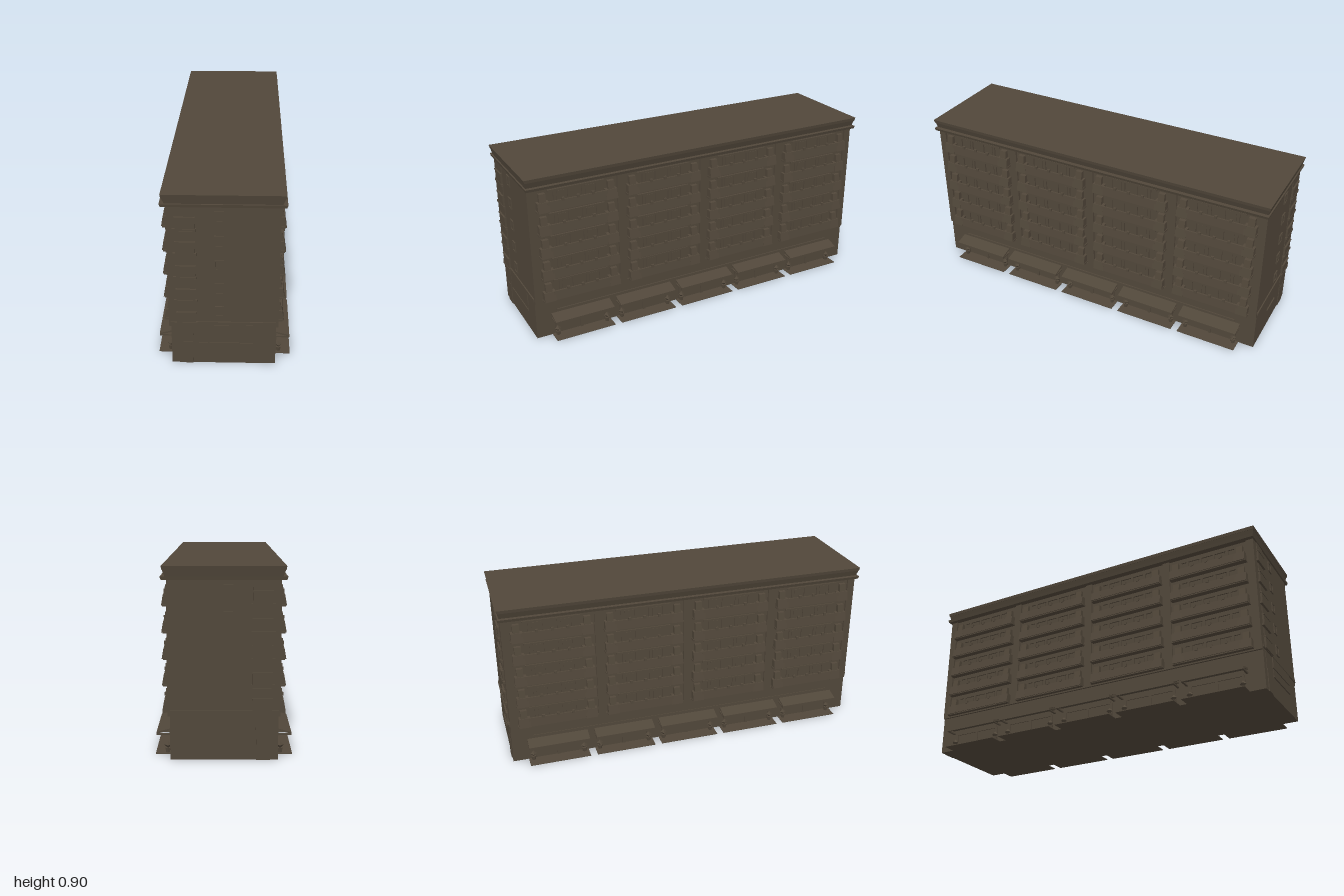
import * as THREE from 'three';

const brown = new THREE.MeshStandardMaterial({ color: 0x51473a });
brown.name = 'weathered brown';
brown.flatShading = true;

const FLOORS = 5, STEP = 0.125;

function add(parent, name, geometry) {
  const mesh = new THREE.Mesh(geometry, brown);
  mesh.name = name;
  parent.add(mesh);
  return mesh;
}

// Box given by its lower and upper limits on each axis
function block(parent, name, x0, x1, y0, y1, z0, z1) {
  const g = new THREE.BoxGeometry(x1 - x0, y1 - y0, z1 - z0);
  g.translate((x0 + x1) / 2, (y0 + y1) / 2, (z0 + z1) / 2);
  return add(parent, name, g);
}

// Four-sided ring section whose top and bottom differ in size
function taper(parent, name, y0, x0, z0, y1, x1, z1) {
  const g = new THREE.BoxGeometry(2, 1, 2), p = g.attributes.position;
  for (let i = 0; i < p.count; i++) {
    const top = p.getY(i) > 0;
    p.setXYZ(i, p.getX(i) * (top ? x1 : x0), top ? y1 : y0, p.getZ(i) * (top ? z1 : z0));
  }
  g.computeVertexNormals();
  return add(parent, name, g);
}

// Profile in x and y, drawn out along z
function prism(parent, name, points, z0, z1) {
  const shape = new THREE.Shape(points.map(([x, y]) => new THREE.Vector2(x, y)));
  const g = new THREE.ExtrudeGeometry(shape, { depth: z1 - z0, bevelEnabled: false });
  g.translate(0, 0, z0);
  return add(parent, name, g);
}

// One long-side balcony, facing +x, centred on z = c
function balcony(parent, c, y) {
  const b = new THREE.Group();
  b.name = 'balcony';
  parent.add(b);
  block(b, 'slab', 0.245, 0.283, y, y + 0.01, c - 0.215, c + 0.215);
  prism(b, 'parapet', [[0.276, y + 0.006], [0.287, y + 0.006], [0.281, y + 0.055], [0.273, y + 0.055]], c - 0.16, c + 0.16);
  for (const s of [-1, 1]) {
    // Enclosed end with a sloping face
    const e = [c + s * 0.15, c + s * 0.212].sort((a, d) => a - d);
    prism(b, 'endBay', [[0.245, y + 0.004], [0.289, y + 0.004], [0.28, y + 0.055], [0.245, y + 0.055]], e[0], e[1]);
    const t = [c + s * 0.165, c + s * 0.2].sort((a, d) => a - d);
    prism(b, 'endScreen', [[0.245, y + 0.05], [0.277, y + 0.05], [0.27, y + 0.098], [0.245, y + 0.098]], t[0], t[1]);
  }
  // Glazing frames behind the parapet
  block(b, 'windowHead', 0.245, 0.259, y + 0.098, y + 0.108, c - 0.15, c + 0.15);
  for (const z of [-0.11, -0.035, 0.04, 0.115]) {
    block(b, 'windowPost', 0.245, 0.259, y + 0.01, y + 0.1, c + z - 0.006, c + z + 0.006);
  }
  for (const z of [-0.073, 0.078]) {
    block(b, 'windowPanel', 0.245, 0.255, y + 0.03, y + 0.095, c + z - 0.024, c + z + 0.024);
  }
  for (const z of [-0.08, 0, 0.08]) {
    block(b, 'railPost', 0.274, 0.286, y + 0.05, y + 0.066, c + z - 0.007, c + z + 0.007);
  }
}

// One shop bay, facing +x, centred on z = c
function shop(parent, c) {
  const s = new THREE.Group();
  s.name = 'shop';
  parent.add(s);
  const a = c - 0.165, b = c + 0.165;
  prism(s, 'awning', [[0.245, 0.12], [0.32, 0.1], [0.32, 0.109], [0.245, 0.129]], a, b);
  block(s, 'awningFrontBar', 0.311, 0.32, 0.095, 0.104, a, b);
  for (const z of [a, b - 0.01]) {
    block(s, 'awningSideBar', 0.245, 0.32, 0.095, 0.102, z, z + 0.01);
  }
  block(s, 'shopApron', 0.24, 0.325, 0, 0.003, a, b);
  block(s, 'shopFrameTop', 0.245, 0.257, 0.085, 0.097, c - 0.14, c + 0.14);
  for (const z of [-0.14, 0, 0.14]) {
    block(s, 'shopFramePost', 0.245, 0.257, 0, 0.09, c + z - 0.007, c + z + 0.007);
  }
  // Potted shrubs at both ends
  for (const z of [c - 0.14, c + 0.14]) {
    const pot = add(s, 'pot', new THREE.CylinderGeometry(0.014, 0.01, 0.024, 6));
    pot.position.set(0.268, 0.014, z);
    const shrub = add(s, 'shrub', new THREE.OctahedronGeometry(0.018));
    shrub.position.set(0.268, 0.04, z);
  }
}

function longSide() {
  const side = new THREE.Group();
  for (const c of [0.72, 0.24, -0.24, -0.72]) {
    for (let f = 0; f < FLOORS; f++) balcony(side, c * 1.01, 0.215 + f * STEP);
  }
  for (const z of [0.965, 0.485, 0, -0.485, -0.965]) {
    block(side, 'pilaster', 0.245, 0.262, 0.215, 0.85, z - 0.02, z + 0.02);
  }
  for (let i = -2; i <= 2; i++) shop(side, i * 0.368);
  block(side, 'shopFascia', 0.245, 0.256, 0.135, 0.147, -0.87, 0.87);
  block(side, 'floorBand', 0.245, 0.262, 0.207, 0.22, -0.985, 0.985);
  return side;
}

// Short end wall facing +z; m = -1 mirrors it onto the back
function endWall(m) {
  const wall = new THREE.Group();
  const slab = (name, x0, x1, y0, y1, d) => {
    const z = [m * 0.98, m * d].sort((a, b) => a - b);
    block(wall, name, x0, x1, y0, y1, z[0], z[1]);
  };
  for (let f = 0; f < FLOORS; f++) {
    const y = 0.222 + f * STEP;
    // Corner balcony
    slab('cornerSlab', -0.235, -0.125, y, y + 0.012, 0.997);
    slab('cornerParapet', -0.222, -0.132, y + 0.01, y + 0.068, 0.995);
    slab('cornerRail', -0.225, -0.13, y + 0.064, y + 0.071, 0.998);
    slab('cornerWindow', -0.218, -0.132, y + 0.071, y + 0.12, 0.989);
    // Small window with a raised frame
    const w = 0.265 + f * STEP;
    slab('windowSill', -0.042, 0.002, w, w + 0.006, 0.991);
    slab('windowLintel', -0.042, 0.002, w + 0.051, w + 0.057, 0.991);
    slab('windowJamb', -0.042, -0.036, w, w + 0.057, 0.991);
    slab('windowJamb', -0.004, 0.002, w, w + 0.057, 0.991);
    slab('windowPane', -0.037, -0.003, w + 0.005, w + 0.052, 0.987);
  }
  slab('floorBand', -0.255, 0.25, 0.22, 0.236, 0.991);
  slab('door', -0.215, -0.15, 0, 0.12, 0.989);
  slab('doorTransom', -0.22, -0.145, 0.12, 0.215, 0.987);
  if (m > 0) {
    slab('upperPanel', -0.12, 0.14, 0.16, 0.218, 0.99);
    slab('middlePanel', -0.12, 0.14, 0.118, 0.158, 0.987);
    slab('lowerLedge', -0.12, 0.14, 0.108, 0.118, 0.991);
  } else {
    slab('entranceLedge', -0.06, 0.06, 0.11, 0.12, 0.991);
  }
  return wall;
}

export function createModel() {
  const model = new THREE.Group();
  model.name = 'apartmentBlock';
  block(model, 'mainWalls', -0.252, 0.25, 0, 0.87, -0.985, 0.985);

  // Stepped and flared roof edge
  taper(model, 'lowerCornice', 0.842, 0.285, 0.993, 0.857, 0.29, 0.996);
  taper(model, 'corniceNeck', 0.857, 0.268, 0.988, 0.89, 0.28, 0.995);
  taper(model, 'roofSlab', 0.888, 0.281, 0.996, 0.905, 0.284, 1.0);

  const left = longSide();
  left.name = 'leftFacade';
  const right = longSide();
  right.name = 'rightFacade';
  right.rotation.y = Math.PI;
  const front = endWall(1);
  front.name = 'frontWall';
  const back = endWall(-1);
  back.name = 'backWall';
  model.add(left, right, front, back);
  return model;
}
